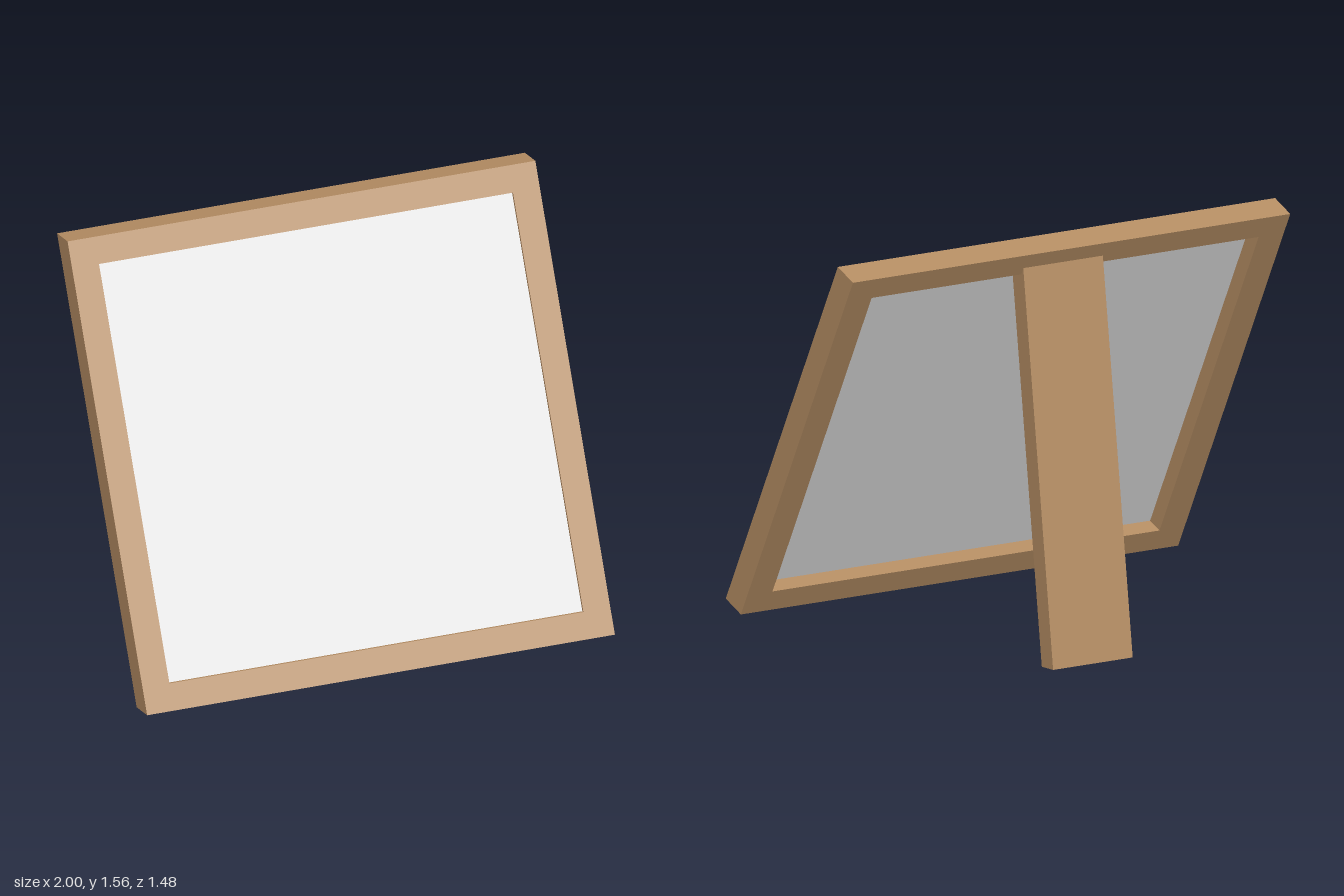
import * as THREE from 'three';

// Slanted axes of the frame: full width, full height and full depth (towards the front)
const WIDTH = new THREE.Vector3(1.645, 0.031, -0.618);
const HEIGHT = new THREE.Vector3(-0.309, 1.506, -0.75);
const DEPTH = new THREE.Vector3(0.041, 0.024, 0.107);
const CENTRE = new THREE.Vector3(-0.004, 0.784, 0.0);

// Axes of the rear leg
const LEG_WIDTH = WIDTH.clone().multiplyScalar(0.182);
const LEG_LENGTH = new THREE.Vector3(0.053, 1, 0.175).multiplyScalar(1.445);
const LEG_DEPTH = new THREE.Vector3(0.03, -0.017, 0.086);
const LEG_CORNER = new THREE.Vector3(-0.377, 0.031, -0.6); // bottom, rear, right

// Skews a unit-sized geometry onto three axes around a centre
function skewed(geometry, x, y, z, centre) {
  return geometry.applyMatrix4(new THREE.Matrix4().makeBasis(x, y, z).setPosition(centre));
}

function rect(path, half) {
  path.moveTo(-half, -half);
  path.lineTo(half, -half);
  path.lineTo(half, half);
  path.lineTo(-half, half);
  path.closePath();
  return path;
}

export function createModel() {
  const group = new THREE.Group();
  const wood = new THREE.MeshStandardMaterial({ name: 'wood', color: 0xb58d63 });
  const grey = new THREE.MeshStandardMaterial({ name: 'paleGrey', color: 0xe0e0e0 });

  const add = (name, geometry, material) => {
    const mesh = new THREE.Mesh(geometry, material);
    mesh.name = name;
    group.add(mesh);
  };

  // Frame: a square with a square opening
  const opening = 0.4425;
  const outline = rect(new THREE.Shape(), 0.5);
  outline.holes.push(rect(new THREE.Path(), opening));
  const frame = new THREE.ExtrudeGeometry(outline, { depth: 1, bevelEnabled: false });
  frame.translate(0, 0, -0.5);
  add('frame', skewed(frame, WIDTH, HEIGHT, DEPTH, CENTRE), wood);

  // Panel set just behind the front of the frame, leaving a deep ledge at the back
  const panel = new THREE.BoxGeometry(opening * 2, opening * 2, 0.28);
  panel.translate(0, 0, 0.26);
  add('panel', skewed(panel, WIDTH, HEIGHT, DEPTH, CENTRE), grey);

  // Rear leg, leaning forward into the top rail
  const legCentre = LEG_CORNER.clone();
  for (const axis of [LEG_WIDTH, LEG_LENGTH, LEG_DEPTH]) legCentre.addScaledVector(axis, 0.5);
  add('rearLeg', skewed(new THREE.BoxGeometry(1, 1, 1), LEG_WIDTH, LEG_LENGTH, LEG_DEPTH, legCentre), wood);

  return group;
}
